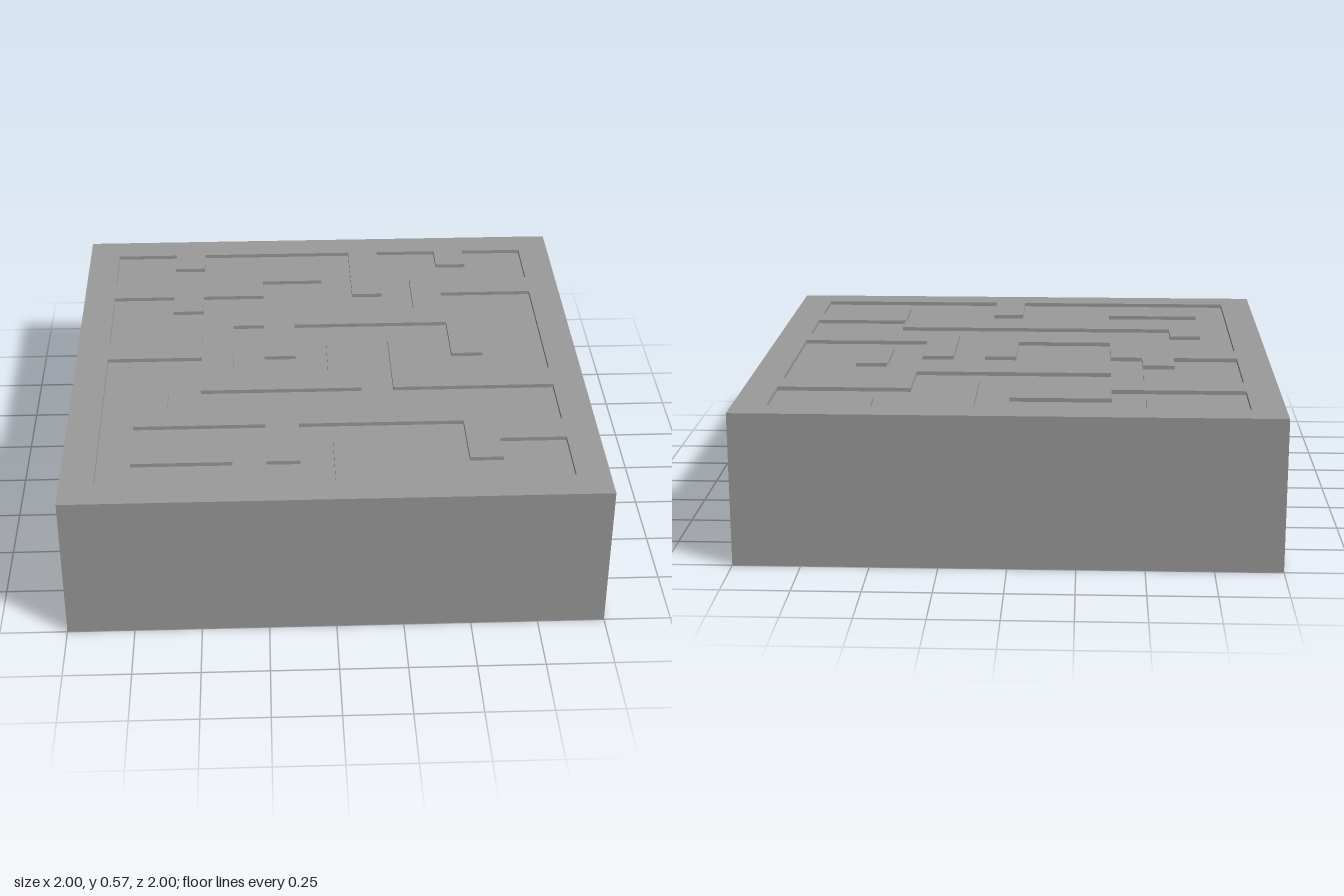
import * as THREE from 'three';

// Maze plan: rows run from back to front, # is wall, . is corridor
const PLAN = [
  '################',
  '#..#.....#..#..#',
  '#....###.#.....#',
  '######...#.#####',
  '#..#.......#...#',
  '#....#######...#',
  '#..#..#.....#..#',
  '#####.#.#.#.#..#',
  '#...#...#.#....#',
  '#...#####.######',
  '#.#............#',
  '#.##########...#',
  '#.....#.....####',
  '#.###.#.#...#..#',
  '#.......#......#',
  '################',
];
const CELL = 0.125;
const TOP = 0.575;    // top of the walls
const FLOOR = 0.56;   // corridor floor, slightly sunk
const at = (i) => i * CELL - 1;

// Collects quads (corners counter-clockwise seen from the front) into one mesh
function quadMesh(name, quads) {
  const pos = [];
  for (const [a, b, c, d] of quads) pos.push(...a, ...b, ...c, ...a, ...c, ...d);
  const geo = new THREE.BufferGeometry();
  geo.setAttribute('position', new THREE.Float32BufferAttribute(pos, 3));
  geo.computeVertexNormals();
  const mat = new THREE.MeshStandardMaterial({ color: 0x9a9a9a, side: THREE.DoubleSide });
  const mesh = new THREE.Mesh(geo, mat);
  mesh.name = name;
  return mesh;
}

// Horizontal rectangle facing up or down
function flat(x0, x1, z0, z1, y, up) {
  const q = [[x0, y, z0], [x0, y, z1], [x1, y, z1], [x1, y, z0]];
  return up ? q : q.reverse();
}

// Vertical rectangle standing on the ground between two plan points
const upright = (x0, z0, x1, z1) =>
  [[x0, 0, z0], [x1, 0, z1], [x1, TOP, z1], [x0, TOP, z0]];

export function createModel() {
  const tops = [], floors = [], undersides = [], sides = [];

  PLAN.forEach((row, r) => {
    const z0 = at(r), z1 = at(r + 1);
    // Horizontal surfaces, one strip per run of equal cells
    for (const run of row.matchAll(/#+|[.]+/g)) {
      const x0 = at(run.index), x1 = at(run.index + run[0].length);
      if (run[0][0] === '#') {
        tops.push(flat(x0, x1, z0, z1, TOP, true));
      } else {
        floors.push(flat(x0, x1, z0, z1, FLOOR, true));
        undersides.push(flat(x0, x1, z0, z1, 0, false));
      }
    }
    // Wall faces wherever a wall cell borders a corridor cell
    for (let c = 0; c < 16; c++) {
      if (row[c] !== '#') continue;
      const x0 = at(c), x1 = at(c + 1);
      const open = (dc, dr) => PLAN[r + dr]?.[c + dc] === '.';
      if (open(0, 1)) sides.push(upright(x0, z1, x1, z1));
      if (open(0, -1)) sides.push(upright(x1, z0, x0, z0));
      if (open(1, 0)) sides.push(upright(x1, z1, x1, z0));
      if (open(-1, 0)) sides.push(upright(x0, z0, x0, z1));
    }
  });

  // Four outer sides, open below between them and the maze
  const outer = [
    upright(-1, 1, 1, 1), upright(1, 1, 1, -1),
    upright(1, -1, -1, -1), upright(-1, -1, -1, 1),
  ];

  const group = new THREE.Group();
  group.name = 'mazeBlock';
  group.add(
    quadMesh('outerSides', outer),
    quadMesh('wallTops', tops),
    quadMesh('wallSides', sides),
    quadMesh('corridorFloor', floors),
    quadMesh('corridorUnderside', undersides),
  );
  return group;
}
